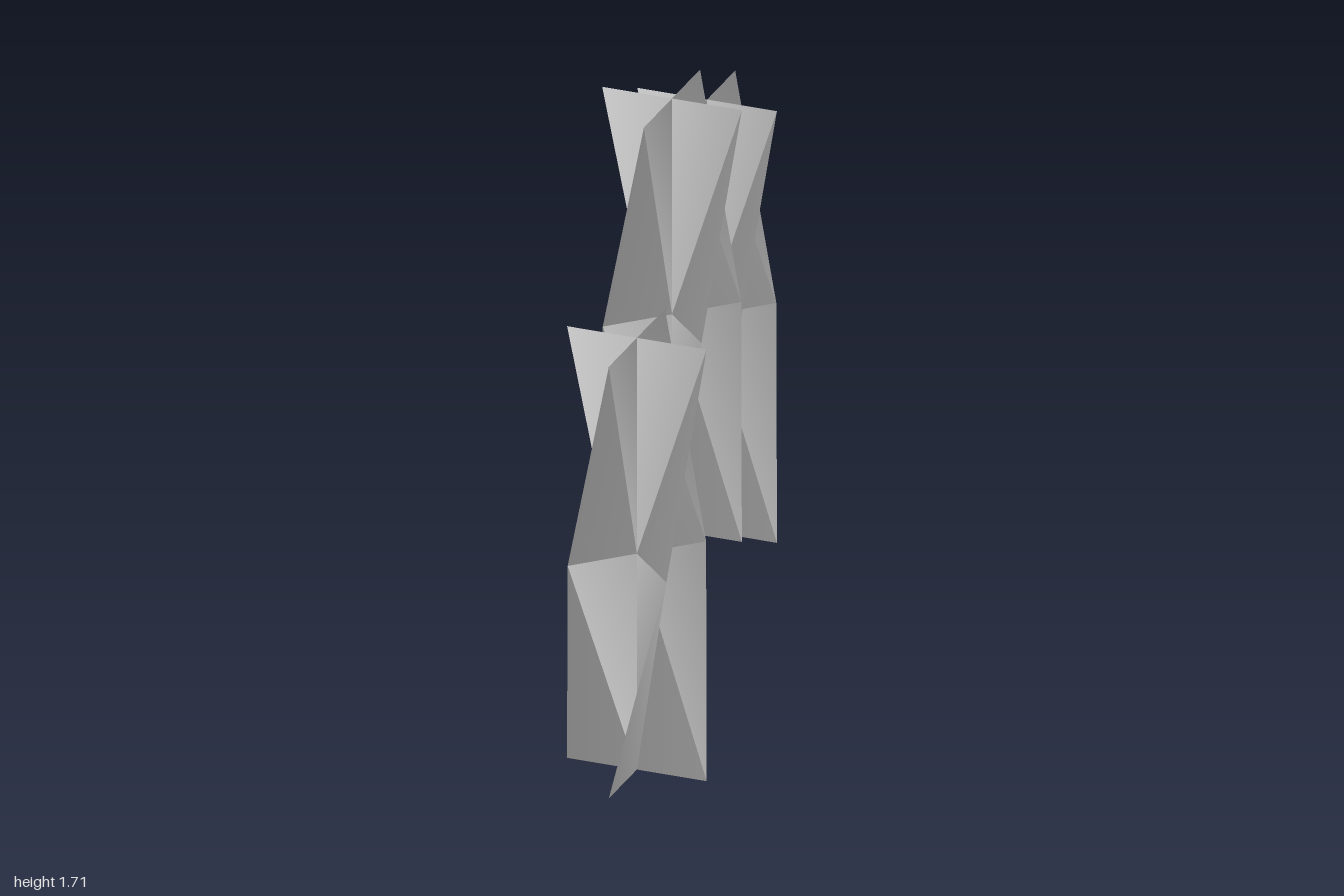
import * as THREE from 'three';

const RADIUS = 0.2125, HEIGHT = 1.34;
const TWIST = Math.PI / 2 / HEIGHT; // radians per unit of height

// One low-poly sheet crossing the axis, twisted a quarter turn over three rows of points
function twistedBlade(startAngle) {
  const geo = new THREE.PlaneGeometry(2 * RADIUS, HEIGHT, 2, 2);
  const { position, normal } = geo.attributes;
  const n = new THREE.Vector3();
  for (let i = 0; i < position.count; i++) {
    const s = position.getX(i);
    const y = position.getY(i) + HEIGHT / 2;
    const angle = startAngle + TWIST * y;
    position.setXYZ(i, s * Math.sin(angle), y, s * Math.cos(angle));
    // Soft shading that runs along the blade's width, tilted by the twist
    n.set(Math.sin(angle), -TWIST * s, Math.cos(angle)).normalize();
    normal.setXYZ(i, n.x, n.y, n.z);
  }
  return geo;
}

export function createModel() {
  const model = new THREE.Group();
  model.name = 'twistedColumns';
  const material = new THREE.MeshStandardMaterial({ color: 0xcccccc, side: THREE.DoubleSide });
  const blades = [-Math.PI / 2, 0].map(twistedBlade);

  // Three columns on a diagonal, the middle one raised
  const columns = [
    ['backColumn', -0.21, 0, -0.7875],
    ['middleColumn', 0, 0.373, 0],
    ['frontColumn', 0.21, 0, 0.7875],
  ];
  for (const [name, x, y, z] of columns) {
    const column = new THREE.Group();
    column.name = name;
    column.position.set(x, y, z);
    blades.forEach((geo, i) => {
      const blade = new THREE.Mesh(geo, material);
      blade.name = i ? 'sideBlade' : 'frontBlade';
      column.add(blade);
    });
    model.add(column);
  }
  return model;
}
